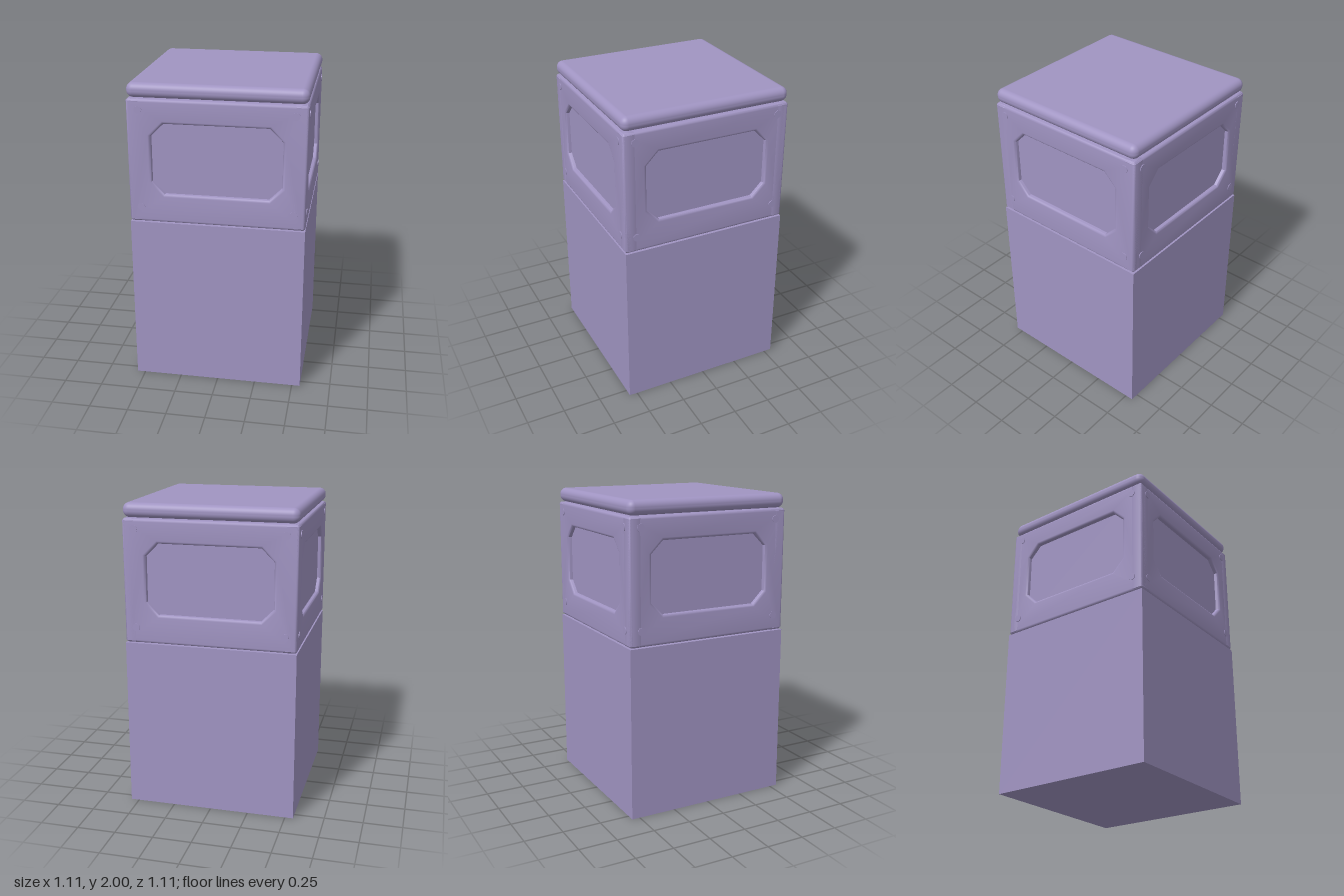
import * as THREE from 'three';
import { toCreasedNormals } from 'three/addons/utils/BufferGeometryUtils.js';
import { RoundedBoxGeometry } from 'three/addons/geometries/RoundedBoxGeometry.js';

const W = 1.106, H = W / 2;            // overall width and half width
const BASE_TOP = 1.11;
const BODY_Y0 = 1.115, BODY_Y1 = 1.905;
const LIP = 0.018, RECESS = 0.028, THICK = 0.09;

// Rectangle with cut corners, used for the frame outline and its window
function cutRect(target, x, y0, y1, c) {
  target.setFromPoints([
    [-x + c, y0], [x - c, y0], [x, y0 + c], [x, y1 - c],
    [x - c, y1], [-x + c, y1], [-x, y1 - c], [-x, y0 + c],
  ].map(([px, py]) => new THREE.Vector2(px, py)));
  target.closePath();
  return target;
}

export function createModel() {
  const model = new THREE.Group();
  model.name = 'pedestalBox';
  const lilac = new THREE.MeshStandardMaterial({ color: 0xa094c2 });
  lilac.name = 'lilac';

  const add = (parent, name, geometry, x, y, z) => {
    const mesh = new THREE.Mesh(geometry, lilac);
    mesh.name = name;
    mesh.position.set(x, y, z);
    parent.add(mesh);
    return mesh;
  };

  // Plain sharp-edged base
  add(model, 'base', new THREE.BoxGeometry(W, BASE_TOP, W), 0, BASE_TOP / 2, 0);

  // Inner core, whose sides form the floors of the recessed panels
  const coreW = W - 2 * RECESS, coreH = BODY_Y1 - BODY_Y0 - 0.002;
  add(model, 'core', new THREE.BoxGeometry(coreW, coreH, coreW), 0, (BODY_Y0 + BODY_Y1) / 2, 0);

  // Side frame with an octagonal window and softened edges
  const outline = cutRect(new THREE.Shape(), H, BODY_Y0, BODY_Y1, 0.012);
  outline.holes.push(cutRect(new THREE.Path(), 0.405, 1.303, 1.755, 0.08));
  const frame = toCreasedNormals(new THREE.ExtrudeGeometry(outline, {
    depth: THICK - 2 * LIP, bevelEnabled: true, bevelThickness: LIP,
    bevelSize: LIP, bevelOffset: -LIP, bevelSegments: 5,
  }), 0.6);

  // Flat round stud
  const stud = new THREE.CylinderGeometry(0.024, 0.024, 0.012, 24);
  stud.rotateX(Math.PI / 2);

  // The four identical sides
  ['front', 'left', 'back', 'right'].forEach((label, i) => {
    const side = new THREE.Group();
    side.name = label + 'Side';
    side.rotation.y = i * Math.PI / 2;
    add(side, label + 'Frame', frame, 0, 0, H - THICK + LIP);
    for (const x of [-0.478, 0.478])
      for (const y of [1.215, 1.84])
        add(side, label + 'Stud', stud, x, y, H - 0.002);
    model.add(side);
  });

  // Cushion-edged lid
  add(model, 'lid', new RoundedBoxGeometry(W, 0.092, W, 5, 0.042), 0, 1.954, 0);

  return model;
}
